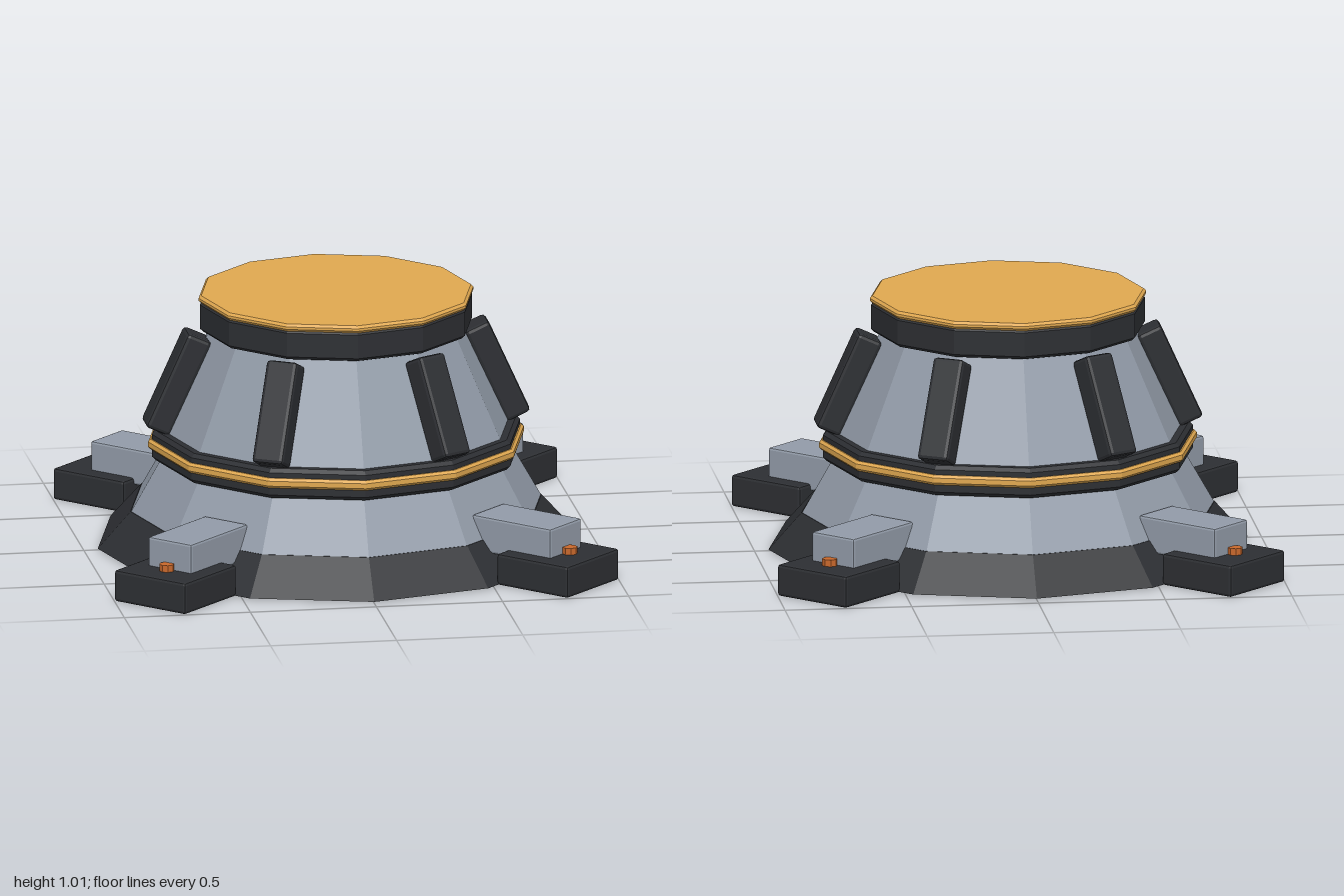
import * as THREE from 'three';
import { RoundedBoxGeometry } from 'three/addons/geometries/RoundedBoxGeometry.js';

const material = (color) => new THREE.MeshStandardMaterial({ color, flatShading: true });

export function createModel() {
  const model = new THREE.Group();
  model.name = 'pedestal';
  const dark = material(0x2d2f33), steel = material(0x929ba8);
  const gold = material(0xe0a850), copper = material(0xc8682c);

  const add = (parent, name, geometry, mat) => {
    const mesh = new THREE.Mesh(geometry, mat);
    mesh.name = name;
    parent.add(mesh);
    return mesh;
  };

  // Closed twelve-sided ring or cone; chamfer trims its top and bottom edges
  const tier = (name, y0, y1, r0, r1, mat, chamfer = 0) => {
    const profile = chamfer
      ? [[0, y0], [r0 - chamfer, y0], [r0, y0 + chamfer], [r1, y1 - chamfer], [r1 - chamfer, y1], [0, y1]]
      : [[0, y0], [r0, y0], [r1, y1], [0, y1]];
    const points = profile.map(([x, y]) => new THREE.Vector2(x, y));
    return add(model, name, new THREE.LatheGeometry(points, 12), mat);
  };

  // Stacked body
  tier('base', 0.005, 0.15, 0.945, 0.815, dark);
  tier('lowerSkirt', 0.145, 0.365, 0.815, 0.69, steel);
  tier('waistBand', 0.355, 0.475, 0.73, 0.73, dark, 0.015);
  tier('waistTrim', 0.4, 0.44, 0.745, 0.745, gold, 0.01);
  tier('upperCone', 0.47, 0.88, 0.69, 0.5, steel);
  tier('collar', 0.87, 0.99, 0.54, 0.54, dark, 0.012);
  tier('lid', 0.985, 1.015, 0.545, 0.545, gold, 0.01);

  // Six leaning ribs along the cone edges
  for (let i = 0; i < 6; i++) {
    const arm = new THREE.Group();
    arm.name = 'rib';
    arm.rotation.y = i * Math.PI / 3;
    model.add(arm);
    const rib = add(arm, 'ribBar', new RoundedBoxGeometry(0.105, 0.41, 0.13, 1, 0.015), dark);
    rib.position.set(0.632, 0.672, 0);
    rib.rotation.z = 0.425;
  }

  // Four diagonal feet, each with a bracket and a bolt
  for (let i = 0; i < 4; i++) {
    const foot = new THREE.Group();
    foot.name = 'foot';
    foot.rotation.y = Math.PI / 4 + i * Math.PI / 2;
    model.add(foot);
    add(foot, 'footPad', new RoundedBoxGeometry(0.345, 0.128, 0.345, 1, 0.012), dark)
      .position.set(1.073, 0.064, 0);
    add(foot, 'bracket', new RoundedBoxGeometry(0.38, 0.145, 0.21, 1, 0.01), steel)
      .position.set(0.922, 0.172, 0);
    add(foot, 'bolt', new THREE.CylinderGeometry(0.03, 0.03, 0.03, 8), copper)
      .position.set(1.13, 0.14, 0);
  }
  return model;
}
